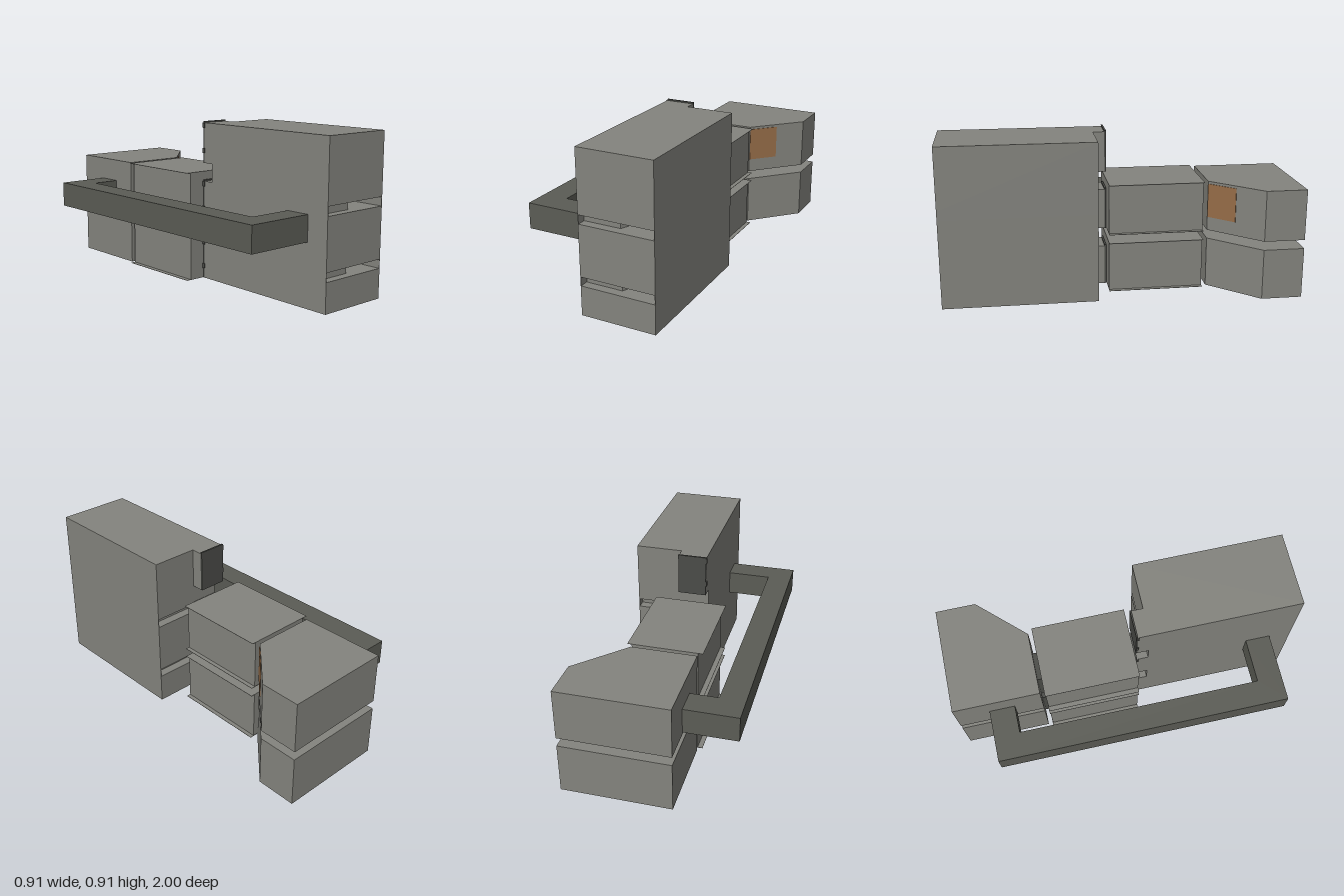
import * as THREE from 'three';

export function createModel() {
  const model = new THREE.Group();
  const mat = (name, color, side = THREE.FrontSide) => {
    const m = new THREE.MeshStandardMaterial({ color, side });
    m.name = name;
    return m;
  };
  const stone = mat('warm grey', 0x84847e, THREE.DoubleSide);
  const iron = mat('dark grey', 0x5b5c55);
  const steel = mat('charcoal', 0x4b4c48);
  const rust = mat('rust brown', 0x966d48);

  const add = (name, geo, material) => {
    const mesh = new THREE.Mesh(geo, material);
    mesh.name = name;
    model.add(mesh);
    return mesh;
  };
  // box given by its lower and upper limits
  const box = (name, material, [x0, x1], [y0, y1], [z0, z1]) => {
    const mesh = add(name, new THREE.BoxGeometry(x1 - x0, y1 - y0, z1 - z0), material);
    mesh.position.set((x0 + x1) / 2, (y0 + y1) / 2, (z0 + z1) / 2);
    return mesh;
  };
  // prism from a plan outline of [x, z] points
  const prism = (name, material, plan, [y0, y1]) => {
    const shape = new THREE.Shape(plan.map(([x, z]) => new THREE.Vector2(x, -z)));
    const geo = new THREE.ExtrudeGeometry(shape, { depth: y1 - y0, bevelEnabled: false });
    geo.rotateX(-Math.PI / 2).translate(0, y0, 0);
    return add(name, geo, material);
  };

  // front body: three stacked slabs with recessed grooves between them
  const bodyX = [-0.062, 0.367], bodyZ = [0.138, 1];
  for (const y of [[0, 0.167], [0.217, 0.505], [0.555, 0.905]]) box('bodySlab', stone, bodyX, y, bodyZ);
  for (const y of [[0.167, 0.217], [0.505, 0.555]]) {
    prism('grooveCore', stone,
      [[-0.058, 0.95], [0.152, 0.95], [0.363, 0.5], [0.363, 0.19], [-0.058, 0.19]], y);
    box('grooveSideLeft', stone, [0.364, 0.367], y, bodyZ);
    box('grooveSideRight', stone, [-0.062, -0.059], y, bodyZ);
  }

  // connectors behind the body, each with a dark plate and two side lugs
  const linkX = [-0.062, 0.1];
  for (const [y0, y1] of [[0, 0.23], [0.34, 0.57], [0.675, 0.905]]) {
    box('connector', stone, linkX, [y0, y1], [0.074, 0.138]);
    box('connectorPlate', steel, linkX, [y0, y1 + 0.008], [0.064, 0.074]);
    for (const y of [y0 + 0.072, y1 - 0.015])
      box('connectorLug', steel, [-0.068, -0.062], [y - 0.014, y + 0.014], [0.064, 0.08]);
  }

  // two tiers of middle and rear blocks
  const rearPlan = [[-0.159, -1], [0.455, -1], [0.455, -0.77], [0.205, -0.505], [-0.159, -0.505]];
  for (const [y0, y1] of [[0, 0.288], [0.338, 0.626]]) {
    box('middleBlock', stone, [-0.156, 0.21], [y0, y1], [-0.478, 0.062]);
    for (const y of [y0, y1 - 0.002])
      box('middleCoverSheet', stone, [-0.184, 0.234], [y, y + 0.002], [-0.48, 0.062]);
    box('rearConnector', steel, [-0.062, 0.1], [y0, y1 - 0.046], [-0.506, -0.478]);
    prism('rearBlock', stone, rearPlan, [y0, y1]);
  }

  // painted patch on the slanted face of the upper rear block
  const patch = add('rustPatch', new THREE.BoxGeometry(0.178, 0.195, 0.006), rust);
  patch.position.set(0.268, 0.514, -0.571);
  patch.rotation.y = Math.atan2(0.265, 0.25);

  // side handle joining the body and the upper rear block
  prism('handle', iron, [
    [-0.062, 0.87], [-0.457, 0.87], [-0.457, -0.808], [-0.159, -0.808],
    [-0.159, -0.662], [-0.316, -0.662], [-0.316, 0.728], [-0.062, 0.728],
  ], [0.352, 0.496]);

  return model;
}
